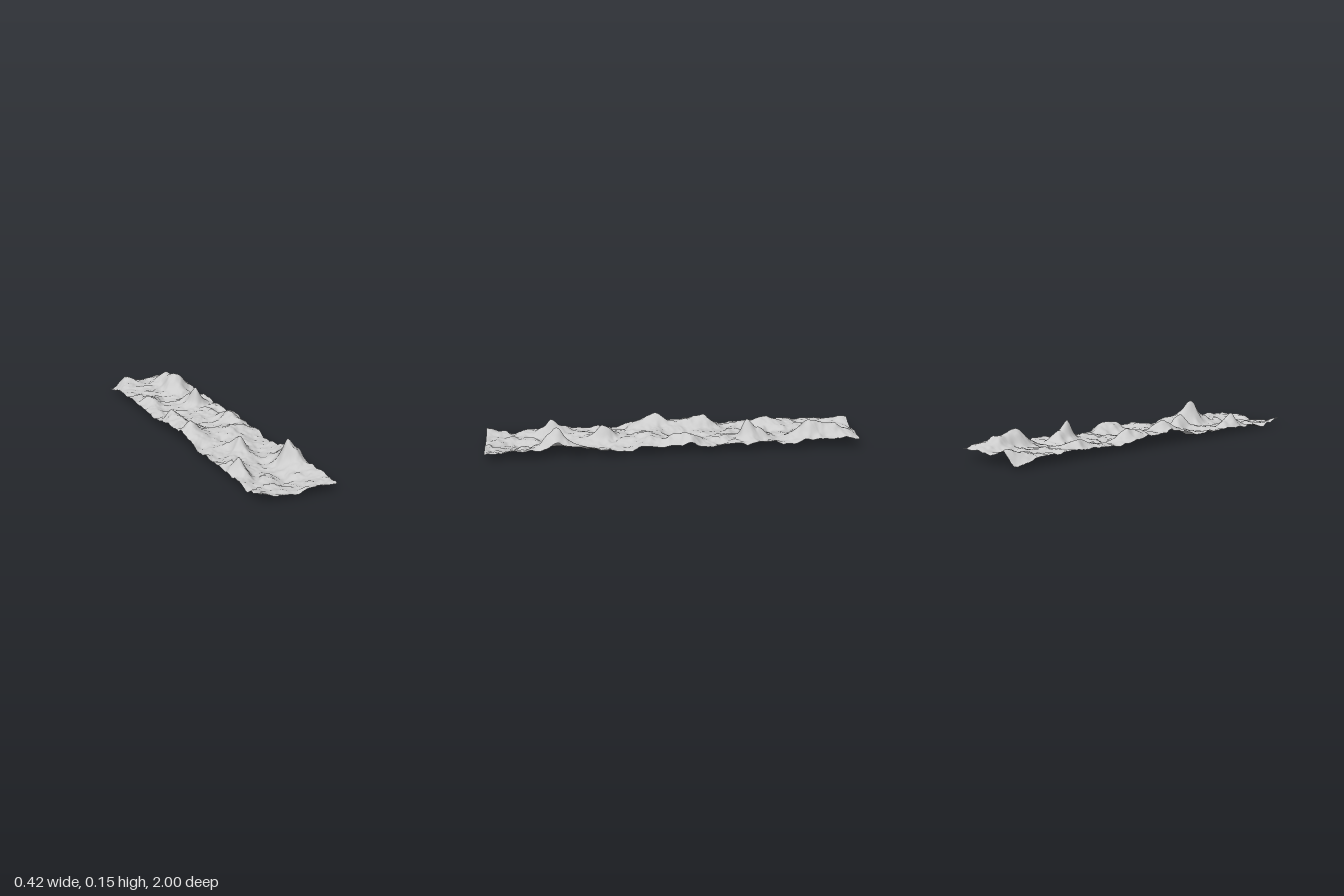
import * as THREE from 'three';

const HALF_X = 0.208, HALF_Z = 1;

// Broad ground level: rows run from back (z = -1) to front (z = 1), columns from -x to +x
const GROUND = [
  [0.030, 0.076, 0.058, 0.048, 0.050],
  [0.052, 0.062, 0.050, 0.056, 0.044],
  [0.056, 0.056, 0.050, 0.044, 0.038],
  [0.042, 0.040, 0.048, 0.052, 0.056],
  [0.045, 0.042, 0.052, 0.056, 0.052],
  [0.052, 0.055, 0.048, 0.046, 0.042],
  [0.055, 0.056, 0.054, 0.050, 0.042],
  [0.045, 0.050, 0.052, 0.046, 0.044],
  [0.038, 0.036, 0.044, 0.036, 0.055],
  [0.026, 0.026, 0.018, 0.026, 0.058],
  [0.030, 0.028, 0.022, 0.036, 0.058],
  [0.046, 0.036, 0.018, 0.044, 0.048],
];

// Hills: x, z, height above ground, radius in x, radius behind, radius in front
const HILLS = [
  [0.140, 0.63, 0.122, 0.043, 0.08, 0.07],
  [-0.145, 0.64, 0.084, 0.036, 0.06, 0.055],
  [-0.008, 0.36, 0.078, 0.034, 0.05, 0.05],
  [-0.145, 0.06, 0.070, 0.056, 0.07, 0.09],
  [0.150, -0.03, 0.072, 0.052, 0.12, 0.12],
  [0.05, 0.13, 0.020, 0.06, 0.09, 0.09],
  [-0.14, -0.18, 0.064, 0.045, 0.07, 0.08],
  [-0.13, -0.07, 0.022, 0.06, 0.08, 0.08],
  [0.095, -0.415, 0.098, 0.038, 0.06, 0.05],
  [-0.13, -0.52, 0.054, 0.05, 0.09, 0.07],
  [0.112, -0.75, 0.086, 0.072, 0.20, 0.09],
];

const smooth = (t) => t * t * (3 - 2 * t);

// Repeatable value noise in -1..1
function hash(i, j) {
  let h = Math.imul(i, 374761393) + Math.imul(j, 668265263);
  h = Math.imul(h ^ (h >>> 13), 1274126177);
  return ((h ^ (h >>> 16)) >>> 0) / 2147483648 - 1;
}

function noise(x, y) {
  const i = Math.floor(x), j = Math.floor(y);
  const u = smooth(x - i), v = smooth(y - j);
  const a = hash(i, j) * (1 - u) + hash(i + 1, j) * u;
  const b = hash(i, j + 1) * (1 - u) + hash(i + 1, j + 1) * u;
  return a * (1 - v) + b * v;
}

function groundLevel(x, z) {
  const rows = GROUND.length - 1, cols = GROUND[0].length - 1;
  const c = ((x + HALF_X) / (2 * HALF_X)) * cols, r = ((z + HALF_Z) / (2 * HALF_Z)) * rows;
  const i = THREE.MathUtils.clamp(Math.floor(c), 0, cols - 1);
  const j = THREE.MathUtils.clamp(Math.floor(r), 0, rows - 1);
  const u = smooth(c - i), v = smooth(r - j);
  const a = GROUND[j][i] * (1 - u) + GROUND[j][i + 1] * u;
  const b = GROUND[j + 1][i] * (1 - u) + GROUND[j + 1][i + 1] * u;
  return a * (1 - v) + b * v;
}

// Small ridges and gullies, slightly diagonal to the strip
function roughness(x, z) {
  const p = x + 0.35 * z, q = z - 0.35 * x;
  let sum = 0, amp = 0.013, freq = 13;
  for (let o = 0; o < 4; o++) {
    sum += amp * noise(p * freq + 17 * o, q * freq + 31 * o);
    amp *= 0.45;
    freq *= 2;
  }
  return sum + 0.007 * (0.5 - Math.abs(noise(p * 13 + 5, q * 17 + 9)));
}

// Hill outlines are bent by noise so that no slope is perfectly round
function hillLevel(x, z) {
  const bx = x + 0.010 * noise(x * 20 + 3, z * 20), bz = z + 0.02 * noise(x * 18, z * 18 + 7);
  let y = 0;
  for (const [hx, hz, h, rx, back, front] of HILLS) {
    const d = Math.hypot((bx - hx) / rx, (bz - hz) / (bz < hz ? back : front));
    y += h * Math.exp(-Math.pow(d, 1.6));
  }
  return y;
}

export function createModel() {
  const group = new THREE.Group();
  group.name = 'terrainStrip';

  // Open sheet of ground, raised point by point
  const geometry = new THREE.PlaneGeometry(2 * HALF_X, 2 * HALF_Z, 64, 300);
  geometry.rotateX(-Math.PI / 2);
  const pos = geometry.attributes.position;
  for (let k = 0; k < pos.count; k++) {
    const x = pos.getX(k), z = pos.getZ(k);
    pos.setY(k, groundLevel(x, z) + roughness(x, z) + hillLevel(x, z));
  }

  // Rest the lowest point on the floor
  geometry.computeBoundingBox();
  geometry.translate(0, -geometry.boundingBox.min.y, 0);
  geometry.computeVertexNormals();

  const material = new THREE.MeshStandardMaterial({ color: 0xcccccc, side: THREE.DoubleSide });
  const terrain = new THREE.Mesh(geometry, material);
  terrain.name = 'terrain';
  group.add(terrain);
  return group;
}
